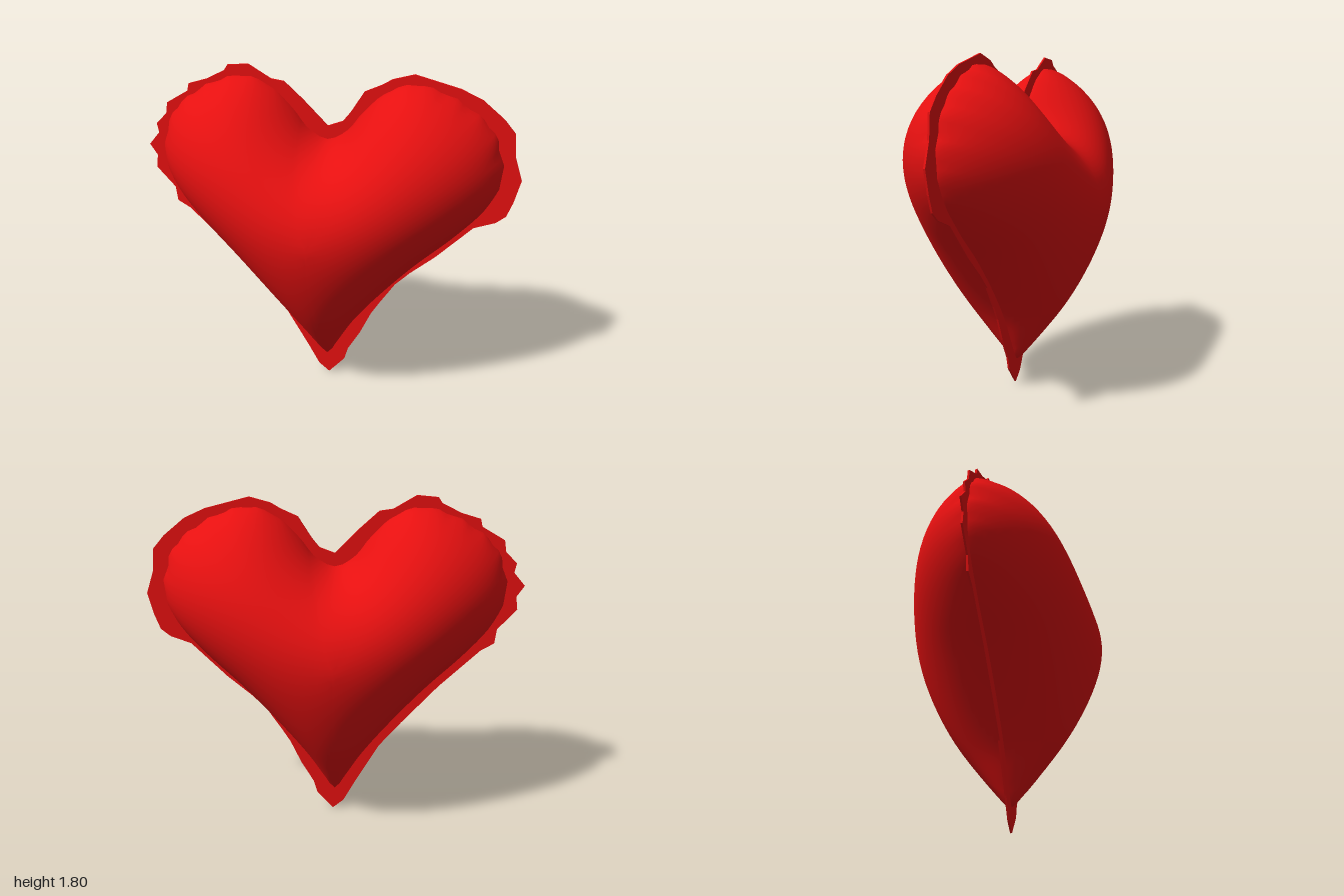
import * as THREE from 'three';

const SEGMENTS = 128, RINGS = 24, CENTRE_Y = 1.0, DEPTH = 0.5;

// Seam line of the cushion: right half from tip to cleft, then mirrored,
// with small puckers around the lobes
function seamOutline() {
  const half = [[0, 0.13], [0.06, 0.22], [0.16, 0.39], [0.29, 0.56], [0.495, 0.78], [0.7, 0.965],
    [0.845, 1.13], [0.905, 1.29], [0.885, 1.42], [0.84, 1.53], [0.73, 1.63], [0.58, 1.71],
    [0.43, 1.74], [0.3, 1.69], [0.19, 1.59], [0.1, 1.48], [0, 1.43]];
  const mirrored = half.slice(1, -1).reverse().map(([x, y]) => [-x, y]);
  const points = [...half, ...mirrored].map(([x, y]) => new THREE.Vector3(x, y, 0));
  const curve = new THREE.CatmullRomCurve3(points, true);
  return Array.from({ length: SEGMENTS }, (_, i) => {
    const p = curve.getPointAt(i / SEGMENTS);
    const lobe = THREE.MathUtils.smoothstep(p.y, 1.1, 1.3) * Math.min(1, Math.abs(p.x) * 2);
    const pucker = 1 + 0.007 * lobe * Math.cos((i * 39 * 2 * Math.PI) / SEGMENTS);
    return new THREE.Vector2(p.x * pucker, CENTRE_Y + (p.y - CENTRE_Y) * pucker);
  });
}

// Height of a sheet blown up inside the seam: relaxes a membrane under even
// pressure over the flat panel, with the seam held at zero
function inflate(flat, triangles, freeCount) {
  const links = flat.map(() => new Map());
  const load = new Float64Array(flat.length);
  const e1 = new THREE.Vector2(), e2 = new THREE.Vector2();
  for (const t of triangles) {
    for (let k = 0; k < 3; k++) {
      const a = t[k], b = t[(k + 1) % 3], c = t[(k + 2) % 3];
      e1.subVectors(flat[b], flat[a]);
      e2.subVectors(flat[c], flat[a]);
      const twiceArea = e1.cross(e2), weight = e1.dot(e2) / twiceArea / 2;
      links[b].set(c, (links[b].get(c) || 0) + weight);
      links[c].set(b, (links[c].get(b) || 0) + weight);
      load[a] += twiceArea / 6;
    }
  }
  const neighbours = links.map((map) => [...map]);
  const totals = neighbours.map((list) => list.reduce((sum, [, w]) => sum + w, 0));
  const height = new Float64Array(flat.length);
  for (let pass = 0; pass < 1500; pass++) {
    for (let v = 0; v < freeCount; v++) {
      let sum = load[v];
      for (const [n, w] of neighbours[v]) sum += w * height[n];
      height[v] += 1.85 * (sum / totals[v] - height[v]);
    }
  }
  return height;
}

// One bulging half of the cushion, meshed in rings from the middle to the seam
function panelGeometry(outline) {
  const flat = [new THREE.Vector2(0, CENTRE_Y)];
  const triangles = [];
  for (let j = 1; j <= RINGS; j++) {
    const s = Math.sin((j / RINGS) * Math.PI / 2);
    outline.forEach((p, i) => {
      flat.push(new THREE.Vector2(p.x * s, CENTRE_Y + (p.y - CENTRE_Y) * s));
      const next = (i + 1) % SEGMENTS, ring = 1 + (j - 1) * SEGMENTS;
      const b = ring + i, c = ring + next;
      if (j === 1) {
        triangles.push([0, b, c]);
      } else {
        triangles.push([b - SEGMENTS, b, c], [b - SEGMENTS, c, c - SEGMENTS]);
      }
    });
  }
  const height = inflate(flat, triangles, flat.length - SEGMENTS);
  const top = Math.max(...height);
  // The lobes slope more gently to the seam than the tip does
  const positions = flat.flatMap((p, i) => {
    const slope = 0.47 + 0.19 * THREE.MathUtils.smoothstep(p.y, 0.4, 1.25);
    return [p.x, p.y, DEPTH * Math.max(0, height[i] / top) ** slope];
  });
  const geometry = new THREE.BufferGeometry();
  geometry.setAttribute('position', new THREE.Float32BufferAttribute(positions, 3));
  geometry.setIndex(triangles.flat());
  geometry.computeVertexNormals();
  return geometry;
}

// Thin, unevenly cut border of cloth around the seam
function borderGeometry(outline) {
  const cut = [[0.01, 0], [0.1, 0.1], [0.12, 0.17], [0.19, 0.29], [0.25, 0.42], [0.3, 0.5],
    [0.38, 0.62], [0.46, 0.7], [0.59, 0.81], [0.7, 0.92], [0.78, 1.0], [0.89, 1.04],
    [0.94, 1.08], [0.97, 1.16], [1, 1.28], [0.96, 1.4], [0.95, 1.52], [0.89, 1.59],
    [0.78, 1.68], [0.67, 1.73], [0.44, 1.79], [0.33, 1.76], [0.28, 1.73], [0.19, 1.69],
    [0.12, 1.58], [0.08, 1.53], [0, 1.5], [-0.13, 1.63], [-0.23, 1.72], [-0.3, 1.73],
    [-0.42, 1.8], [-0.53, 1.79], [-0.55, 1.76], [-0.65, 1.71], [-0.75, 1.68], [-0.76, 1.64],
    [-0.88, 1.57], [-0.89, 1.51], [-0.95, 1.45], [-0.94, 1.4], [-1, 1.33], [-0.96, 1.27],
    [-0.97, 1.2], [-0.87, 1.09], [-0.86, 1.01], [-0.79, 0.97], [-0.57, 0.76], [-0.37, 0.54],
    [-0.25, 0.4], [-0.18, 0.28], [-0.11, 0.16], [-0.05, 0.05]];
  const shape = new THREE.Shape(cut.map(([x, y]) => new THREE.Vector2(x, y)));
  const inner = outline.map((p) => new THREE.Vector2(p.x * 0.985, CENTRE_Y + (p.y - CENTRE_Y) * 0.985));
  shape.holes.push(new THREE.Path(inner.reverse()));
  const geometry = new THREE.ExtrudeGeometry(shape, { depth: 0.01, bevelEnabled: false });
  geometry.translate(0, 0, -0.005);
  return geometry;
}

export function createModel() {
  const red = new THREE.MeshStandardMaterial({ color: 0xe61010 });
  red.name = 'red cloth';
  const outline = seamOutline();
  const group = new THREE.Group();
  group.name = 'heartCushion';

  // The panel is symmetric, so the back is the front turned round
  const panel = panelGeometry(outline);
  const front = new THREE.Mesh(panel, red);
  front.name = 'frontPanel';
  const back = new THREE.Mesh(panel, red);
  back.name = 'backPanel';
  back.rotation.y = Math.PI;

  const border = new THREE.Mesh(borderGeometry(outline), red);
  border.name = 'seamBorder';
  group.add(front, back, border);
  return group;
}
